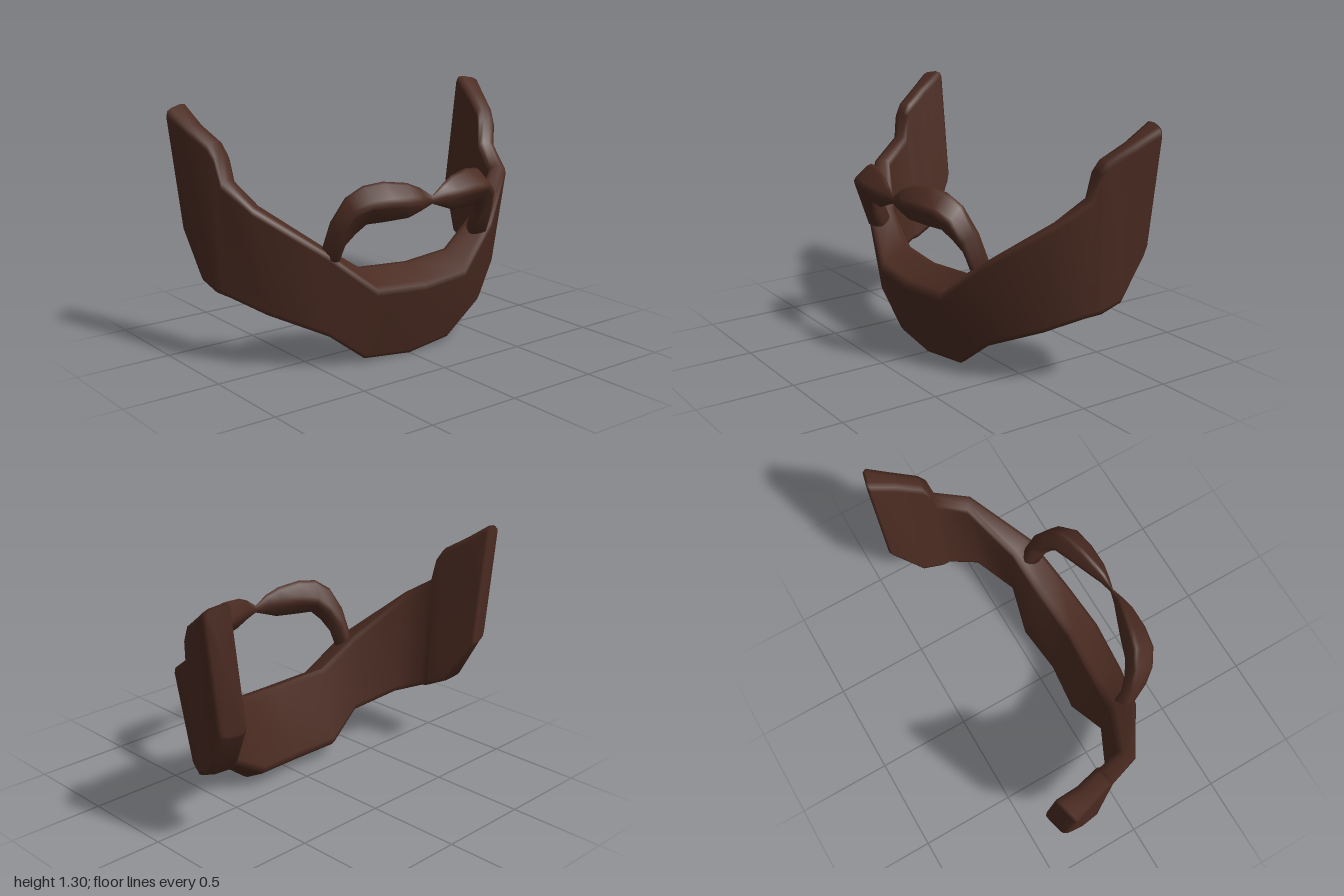
import * as THREE from 'three';

const V = (p) => new THREE.Vector3(...p);

// Round the four corners of a cross-section: three points for each corner
function roundSection(corners, radius) {
  const c = corners.map(V);
  return c.flatMap((p, i) => {
    const cut = (q) => {
      const d = q.clone().sub(p);
      return p.clone().addScaledVector(d.clone().normalize(), Math.min(radius, d.length() * 0.33));
    };
    const a = cut(c[(i + 3) % 4]);
    const b = cut(c[(i + 1) % 4]);
    const mid = a.clone().add(b).multiplyScalar(0.25).addScaledVector(p, 0.5);
    return [a, mid, b];
  });
}

// Mirror half a list of sections (first one lies on the centre line)
function mirrorSections(half) {
  const other = half.slice(1).reverse().map((s) => s.map(([x, y, z]) => [-x, y, z]));
  return [...other, ...half];
}

// Skin a closed band through the sections, from -x to +x
function loft(sections, radius) {
  const rings = sections.map((s) => roundSection(s, radius));
  const n = rings[0].length;
  const pts = rings.flat();
  const index = [];
  for (let s = 0; s < rings.length - 1; s++) {
    for (let i = 0; i < n; i++) {
      const a = s * n + i, b = s * n + ((i + 1) % n);
      index.push(a, a + n, b, b, a + n, b + n);
    }
  }
  // end caps share the ring vertices, so that the ends shade softly
  [0, rings.length - 1].forEach((r) => {
    const c = pts.length;
    const centre = new THREE.Vector3();
    rings[r].forEach((p) => centre.addScaledVector(p, 1 / n));
    pts.push(centre);
    for (let i = 0; i < n; i++) {
      const a = r * n + i, b = r * n + ((i + 1) % n);
      if (r === 0) index.push(c, a, b);
      else index.push(c, b, a);
    }
  });
  const g = new THREE.BufferGeometry().setFromPoints(pts);
  g.setIndex(index);
  g.computeVertexNormals();
  return g;
}

export function createModel() {
  const group = new THREE.Group();
  const hair = new THREE.MeshStandardMaterial({ color: 0x4a2b21 });
  hair.name = 'dark brown hair';

  // Beard: outer bottom, outer top, inner top, inner bottom from chin to sideburn
  const beardHalf = [
    [[0, -0.015, 0.225], [0, 0.4, 0.365], [0, 0.49, 0.175], [0, 0.08, 0.07]],
    [[0.275, 0.01, 0.205], [0.285, 0.415, 0.34], [0.28, 0.505, 0.155], [0.255, 0.095, 0.04]],
    [[0.485, 0.17, 0.205], [0.535, 0.625, 0.258], [0.49, 0.645, 0.115], [0.475, 0.21, 0.095]],
    [[0.735, 0.29, 0.035], [0.82, 0.845, 0.055], [0.745, 0.85, -0.005], [0.68, 0.29, -0.01]],
    [[0.85, 0.36, -0.13], [0.885, 0.955, -0.12], [0.79, 0.955, -0.145], [0.735, 0.35, -0.15]],
    [[0.87, 0.37, -0.16], [0.905, 1.08, -0.142], [0.805, 1.08, -0.165], [0.73, 0.36, -0.185]],
    [[0.89, 0.38, -0.19], [0.92, 1.135, -0.178], [0.82, 1.135, -0.195], [0.73, 0.375, -0.21]],
    [[0.91, 0.425, -0.29], [0.965, 1.205, -0.29], [0.86, 1.21, -0.31], [0.74, 0.42, -0.3]],
    [[0.935, 0.645, -0.4], [1.01, 1.275, -0.4], [0.88, 1.3, -0.435], [0.795, 0.645, -0.435]],
    [[0.925, 0.665, -0.42], [1.0, 1.27, -0.42], [0.89, 1.295, -0.448], [0.81, 0.665, -0.448]],
  ];
  const beard = new THREE.Mesh(loft(mirrorSections(beardHalf), 0.035), hair);
  beard.name = 'beard';

  // Moustache: bottom, front, top, back from the pinched middle to the rooted end
  const moustacheHalf = [
    [[0, 0.818, 0.41], [0, 0.84, 0.42], [0, 0.865, 0.41], [0, 0.84, 0.4]],
    [[0.07, 0.785, 0.41], [0.07, 0.85, 0.442], [0.07, 0.92, 0.4], [0.07, 0.85, 0.375]],
    [[0.14, 0.757, 0.4], [0.14, 0.855, 0.457], [0.14, 0.952, 0.38], [0.14, 0.85, 0.345]],
    [[0.26, 0.75, 0.37], [0.26, 0.865, 0.455], [0.26, 0.968, 0.35], [0.25, 0.85, 0.3]],
    [[0.35, 0.747, 0.345], [0.37, 0.865, 0.435], [0.36, 0.955, 0.322], [0.34, 0.83, 0.27]],
    [[0.39, 0.7, 0.315], [0.45, 0.82, 0.385], [0.435, 0.9, 0.282], [0.4, 0.77, 0.235]],
    [[0.415, 0.64, 0.27], [0.485, 0.72, 0.335], [0.495, 0.78, 0.24], [0.445, 0.69, 0.19]],
    [[0.42, 0.56, 0.23], [0.49, 0.58, 0.285], [0.525, 0.595, 0.185], [0.45, 0.58, 0.14]],
  ];
  const moustache = new THREE.Mesh(loft(mirrorSections(moustacheHalf), 0.03), hair);
  moustache.name = 'moustache';
  moustache.position.x = -0.015;

  group.add(beard, moustache);
  return group;
}
